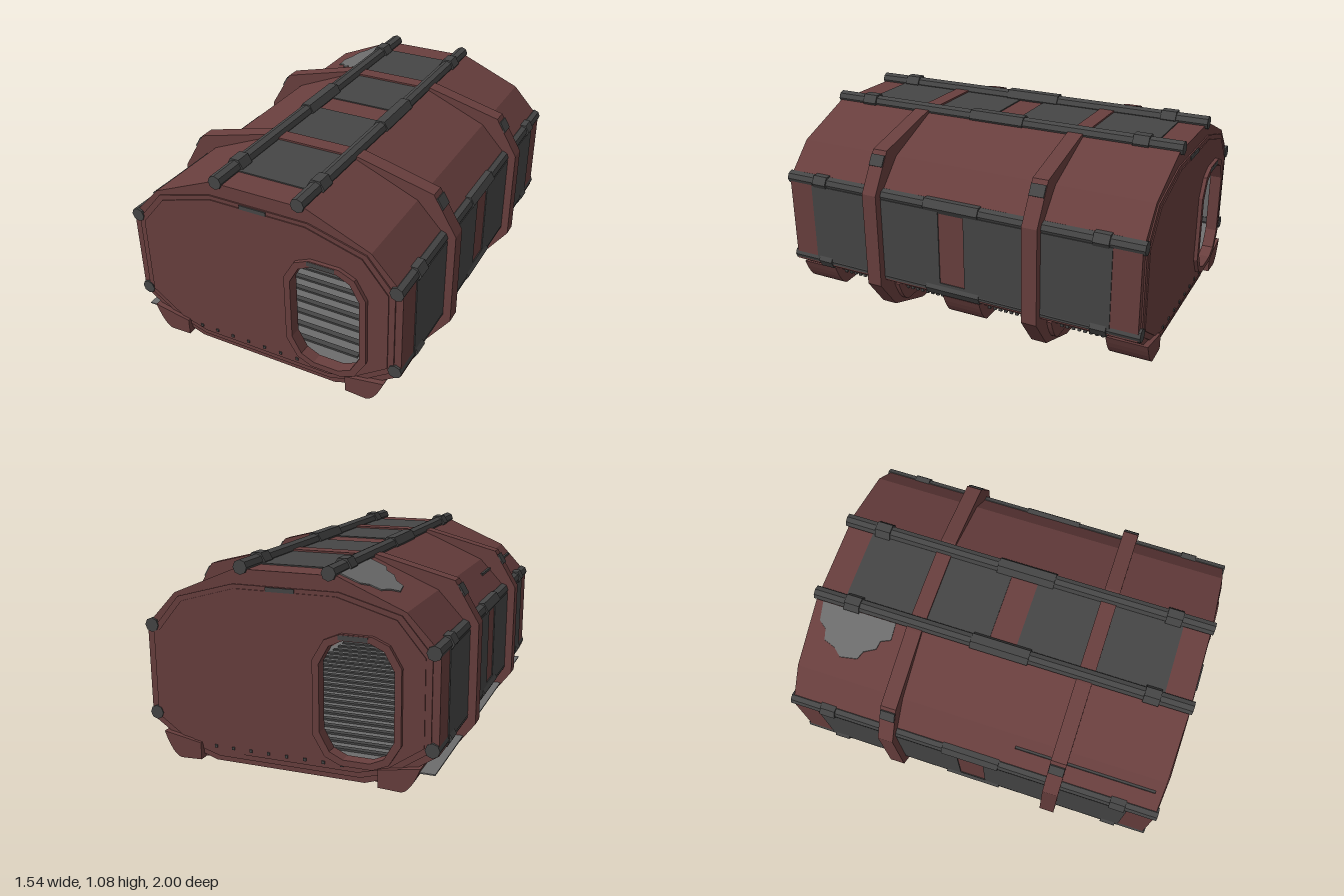
import * as THREE from 'three';

const mat = (name, color, side = THREE.FrontSide) => {
  const m = new THREE.MeshStandardMaterial({ color, side });
  m.name = name;
  return m;
};

export function createModel() {
  const rust = mat('rust red', 0x693f3e);
  const dark = mat('dark steel', 0x464646);
  const grey = mat('pale grey', 0x6c6c6c, THREE.DoubleSide);
  const model = new THREE.Group();

  const add = (name, geo, material, parent = model, x = 0, y = 0, z = 0) => {
    const m = new THREE.Mesh(geo, material);
    m.name = name;
    m.position.set(x, y, z);
    parent.add(m);
    return m;
  };
  const box = (name, w, h, d, material, x, y, z, parent = model) =>
    add(name, new THREE.BoxGeometry(w, h, d), material, parent, x, y, z);
  const flat = (g) => {
    const f = g.toNonIndexed();
    f.computeVertexNormals();
    return f;
  };
  // Closed outline mirrored from right-hand points listed bottom to top
  const mirror = (half) => [...half, ...half.map(([x, y]) => [-x, y]).reverse()];
  const grow = (pts, s, cy) => pts.map(([x, y]) => [x * s, cy + (y - cy) * s]);
  const prism = (pts, z0, z1, holes = []) => {
    const v = (p) => p.map(([x, y]) => new THREE.Vector2(x, y));
    const s = new THREE.Shape(v(pts));
    holes.forEach((h) => s.holes.push(new THREE.Path(v(h))));
    return new THREE.ExtrudeGeometry(s, { depth: z1 - z0, bevelEnabled: false }).translate(0, 0, z0);
  };

  const hull = mirror([[0.38, 0.09], [0.54, 0.145], [0.725, 0.27], [0.725, 0.735], [0.57, 0.9], [0.25, 1.035]]);
  const rib = mirror([[0.39, 0], [0.65, 0.09], [0.77, 0.25], [0.77, 0.75], [0.65, 0.95], [0.26, 1.05]]);
  const inner = grow(hull, 0.94, 0.56);
  const plate = mirror([[0.36, 0.115], [0.51, 0.16], [0.69, 0.285], [0.69, 0.72], [0.55, 0.885], [0.26, 0.965]]);
  const panel = mirror([[0.35, 0.14], [0.49, 0.18], [0.66, 0.3], [0.66, 0.71], [0.53, 0.865], [0.25, 0.945]]);
  // Doorway outline, offset to one side of the end wall
  const doorAt = (w, h) => [[1, 0.58], [0.73, 0.89], [0.36, 1], [-0.36, 1], [-0.73, 0.89], [-1, 0.58],
    [-1, -0.58], [-0.73, -0.89], [-0.36, -1], [0.36, -1], [0.73, -0.89], [1, -0.58]]
    .map(([x, y]) => [0.35 + x * w, 0.478 + y * h]);
  const door = doorAt(0.178, 0.278);

  // Shell and interior lining
  add('hullShell', prism(hull, -0.95, 0.95, [inner]), rust);
  add('innerLining', prism(grow(hull, 0.938, 0.56), -0.94, 0.94, [grow(hull, 0.93, 0.56)]), grey);
  box('floor', 1.3, 0.006, 1.94, grey, -0.06, 0.18, 0);
  for (let i = -10; i <= 10; i++) box('floorSlat', 0.9, 0.01, 0.03, dark, 0, 0.19, i * 0.085);

  // Wrap-around ribs with dark shoulder plates
  for (const z of [-0.44, 0.44]) {
    add('rib', prism(rib, z - 0.04, z + 0.04, [inner]), rust);
    for (const s of [-1, 1]) {
      const p = box('ribShoulderPlate', 0.008, 0.06, 0.076, dark, s * 0.681, 0.905, z);
      p.rotation.z = s * 0.54;
    }
  }

  // Dark cladding on the sides and roof, broken by ribs and a middle band
  for (const s of [-1, 1]) {
    for (const [a, b] of [[0.07, 0.4], [0.48, 0.83]]) {
      const z = s * (a + b) / 2;
      box('roofPanel', 0.44, 0.008, b - a, dark, 0, 1.037, z);
      for (const x of [-0.726, 0.726]) box('sidePanel', 0.008, 0.44, b - a, dark, x, 0.5, z);
    }
    box('sideLowerStrip', 0.008, 0.05, 0.14, dark, s * 0.726, 0.305, 0);
  }

  // Six long pipes with collars and a centre sleeve
  const pipe = (r, len) => flat(new THREE.CylinderGeometry(r, r, len, 6).rotateX(Math.PI / 2).rotateZ(Math.PI / 2));
  const pipeR = flat(new THREE.CylinderGeometry(0.035, 0.035, 1.96, 8).rotateX(Math.PI / 2));
  for (const s of [-1, 1]) {
    for (const [x, y] of [[0.215, 1.045], [0.697, 0.735], [0.697, 0.295]]) {
      const g = new THREE.Group();
      g.name = 'pipeRail';
      g.position.set(s * x, y, 0);
      model.add(g);
      add('pipe', pipeR, dark, g);
      add('pipeSleeve', pipe(0.044, 0.3), dark, g);
      for (const z of [-0.775, 0.775]) add('pipeCollar', pipe(0.046, 0.08), dark, g, 0, 0, z);
    }
  }

  // Both ends are alike, turned half a circle
  const makeEnd = (turn) => {
    const end = new THREE.Group();
    end.name = turn ? 'backEnd' : 'frontEnd';
    end.rotation.y = turn;
    model.add(end);
    add('endWall', prism(hull, 0.94, 0.968, [door]), rust, end);
    add('endStep', prism(plate, 0.968, 0.975, [door]), rust, end);
    add('endPanel', prism(panel, 0.975, 0.98, [door]), rust, end);
    add('doorFrame', prism(doorAt(0.21, 0.308), 0.94, 1, [door]), rust, end);
    box('doorTopPlate', 0.14, 0.022, 0.006, dark, 0.335, 0.77, 0.998, end);
    box('endTopPlate', 0.14, 0.02, 0.006, dark, -0.02, 0.953, 0.98, end);
    for (let i = 0; i < 9; i++) box('rivet', 0.014, 0.014, 0.012, dark, -0.465 + i * 0.0925, 0.166, 0.98, end);
    // Bench seen across the room through the opposite doorway
    box('benchTop', 0.44, 0.022, 0.4, dark, -0.33, 0.425, 0.72, end);
    box('benchFront', 0.4, 0.22, 0.02, rust, -0.33, 0.3, 0.8, end);
    for (const z of [0.55, 0.88]) box('benchLeg', 0.045, 0.23, 0.045, rust, -0.5, 0.3, z, end);
  };
  makeEnd(0);
  makeEnd(Math.PI);

  // Rounded feet along both lower edges, with tapered braces beneath
  const footShape = new THREE.Shape();
  footShape.moveTo(0.45, 0.175);
  footShape.lineTo(0.45, 0.09);
  footShape.lineTo(0.56, 0.085);
  footShape.quadraticCurveTo(0.605, 0.09, 0.65, 0.21);
  const foot = (w) => new THREE.ExtrudeGeometry(footShape, { depth: w, bevelEnabled: false, curveSegments: 6 })
    .translate(0, 0, -w / 2);
  for (const turn of [0, Math.PI]) {
    const side = new THREE.Group();
    side.name = turn ? 'rightFeet' : 'leftFeet';
    side.rotation.y = turn;
    model.add(side);
    for (const [z, w] of [[-0.89, 0.21], [0, 0.21], [0.89, 0.21], [-0.44, 0.13], [0.44, 0.13]]) {
      add('foot', foot(w), rust, side, 0, 0, z);
      if (w > 0.2) {
        const brace = new THREE.ConeGeometry(0.07, 0.18, 4).rotateZ(Math.PI / 2).scale(1, 0.3, 1);
        add('footBrace', flat(brace), rust, side, 0.37, 0.095, z);
      }
    }
    for (let i = -30; i <= 30; i++) box('edgeRivet', 0.014, 0.014, 0.016, dark, 0.567, 0.16, i * 0.031, side);
  }

  // Bare patches on roof slope and underside, following a height rule
  const patch = (name, pts, height) => {
    const g = prism(pts.map(([x, z]) => [x, -z]), 0, 0.006);
    const p = g.attributes.position;
    for (let i = 0; i < p.count; i++) {
      const x = p.getX(i);
      p.setXYZ(i, x, height(x) + p.getZ(i), -p.getY(i));
    }
    g.computeVertexNormals();
    add(name, g, grey);
  };
  const slope = (x) => 1.035 - (Math.abs(x) - 0.25) * 0.422;
  patch('roofPatch', [[-0.25, -0.93], [-0.34, -0.92], [-0.37, -0.88], [-0.42, -0.87], [-0.44, -0.81], [-0.475, -0.77],
    [-0.46, -0.68], [-0.42, -0.66], [-0.39, -0.6], [-0.35, -0.59], [-0.33, -0.54], [-0.25, -0.54]], slope);
  patch('undersidePatch', [[-0.2, -0.8], [-0.32, -0.77], [-0.37, -0.68], [-0.36, -0.57], [-0.27, -0.52], [-0.2, -0.6]],
    () => 0.085);

  // Narrow slots on one shoulder
  for (const [a, b] of [[0.21, 0.4], [0.48, 0.93]]) box('shoulderSlot', 0.012, 0.012, b - a, dark, -0.62, 0.849, (a + b) / 2);
  return model;
}
